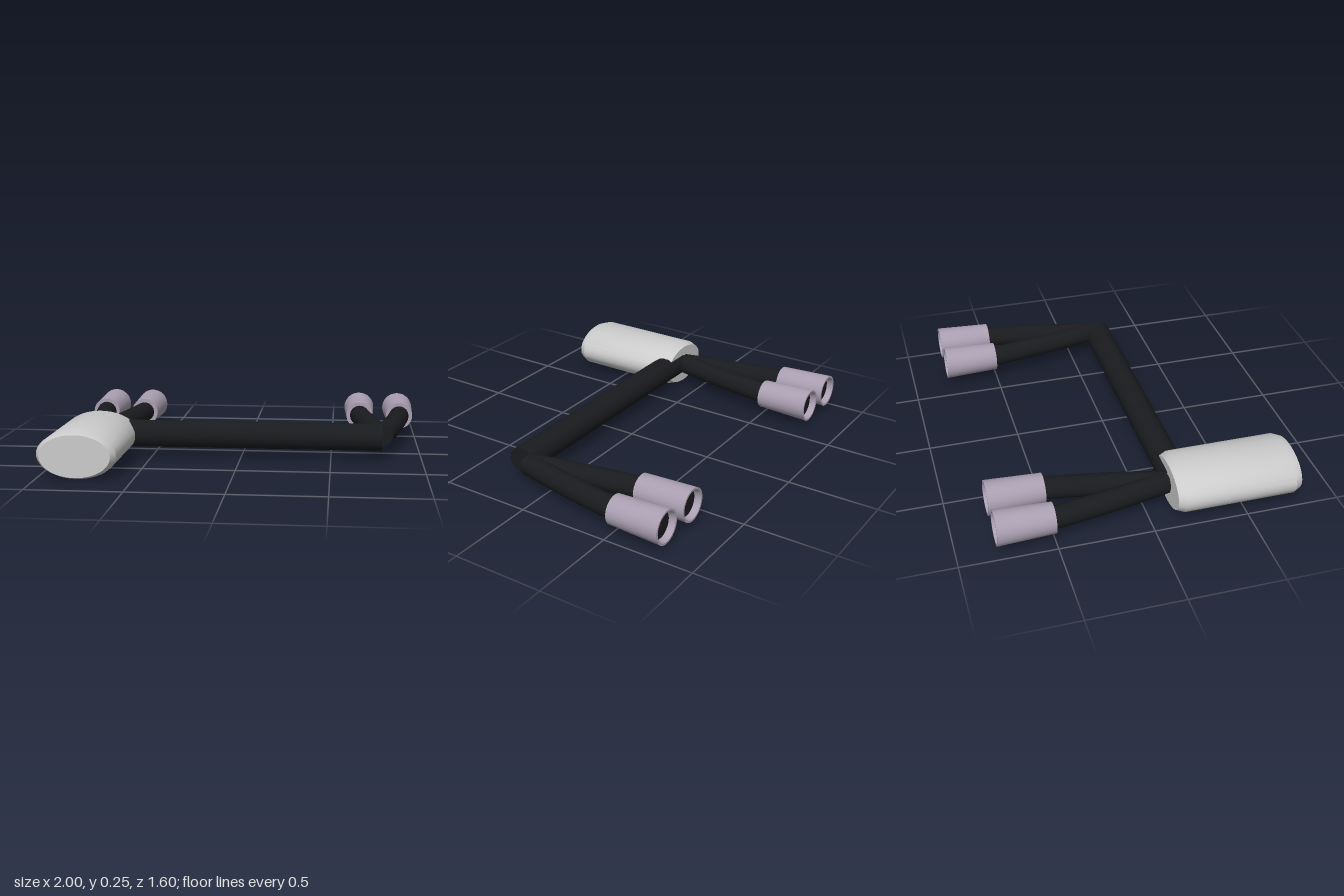
import * as THREE from 'three';
import { toCreasedNormals } from 'three/addons/utils/BufferGeometryUtils.js';

const AXIS_Y = 0.127;
const silver = new THREE.MeshStandardMaterial({ color: 0xcccccc });
const black = new THREE.MeshStandardMaterial({ color: 0x1a1b1e });
const mauve = new THREE.MeshStandardMaterial({ color: 0xaa9fb2 });

function part(name, geometry, material) {
  const mesh = new THREE.Mesh(geometry, material);
  mesh.name = name;
  return mesh;
}

// Turned solid with crisp edges; profile runs from bottom to top
function turned(profile, segments) {
  const points = profile.map(([r, y]) => new THREE.Vector2(r, y));
  return toCreasedNormals(new THREE.LatheGeometry(points, segments), 0.25);
}

// Round pipe along a curve with a flat cap on each end
function pipe(name, curve, radius, steps) {
  const group = new THREE.Group();
  group.name = name;
  group.add(part('pipeWall', new THREE.TubeGeometry(curve, steps, radius, 16), black));
  for (const [t, sign] of [[0, -1], [1, 1]]) {
    const cap = part('pipeCap', new THREE.CircleGeometry(radius, 16), black);
    const end = curve.getPointAt(t);
    cap.position.copy(end);
    cap.lookAt(end.clone().addScaledVector(curve.getTangentAt(t), sign));
    group.add(cap);
  }
  return group;
}

// Flared tip opening toward -z, with a dark recessed bore
function tailTip(x) {
  const group = new THREE.Group();
  group.name = 'tailTip';
  const shell = turned([[0, 0], [0.08, 0], [0.092, 0.3], [0.081, 0.3], [0.073, 0.265]], 32);
  group.add(part('tipShell', shell.rotateX(-Math.PI / 2), mauve));
  const bore = part('tipBore', new THREE.CircleGeometry(0.073, 32).rotateY(Math.PI), black);
  bore.position.z = -0.265;
  group.add(bore);
  group.position.set(x, AXIS_Y, -0.5);
  return group;
}

// Pair of pipes spreading toward the back, each ending in a tip
function twinOutlet(name, x) {
  const group = new THREE.Group();
  group.name = name;
  for (const side of [-1, 1]) {
    const curve = new THREE.QuadraticBezierCurve3(
      new THREE.Vector3(x, AXIS_Y, 0.122),
      new THREE.Vector3(x + side * 0.077, AXIS_Y, -0.19),
      new THREE.Vector3(x + side * 0.12, AXIS_Y, -0.503)
    );
    group.add(pipe('branchPipe', curve, 0.059, 12), tailTip(x + side * 0.12));
  }
  return group;
}

export function createModel() {
  const model = new THREE.Group();
  model.name = 'exhaustSystem';

  // Oval muffler with chamfered ends
  const body = turned([[0, 0], [0.89, 0], [1, 0.04], [1, 0.63], [0.89, 0.67], [0, 0.67]], 48);
  body.rotateX(Math.PI / 2).scale(0.208, 0.125, 1);
  const muffler = part('muffler', toCreasedNormals(body, 0.5), silver);
  muffler.position.set(-0.79, 0.125, 0.13);
  model.add(muffler);

  // Cross pipe joining the two outlets
  const across = new THREE.LineCurve3(
    new THREE.Vector3(-0.78, 0.128, 0.178),
    new THREE.Vector3(0.78, 0.128, 0.178)
  );
  model.add(pipe('crossPipe', across, 0.076, 1));

  model.add(twinOutlet('rightOutlet', -0.787), twinOutlet('leftOutlet', 0.785));
  return model;
}
